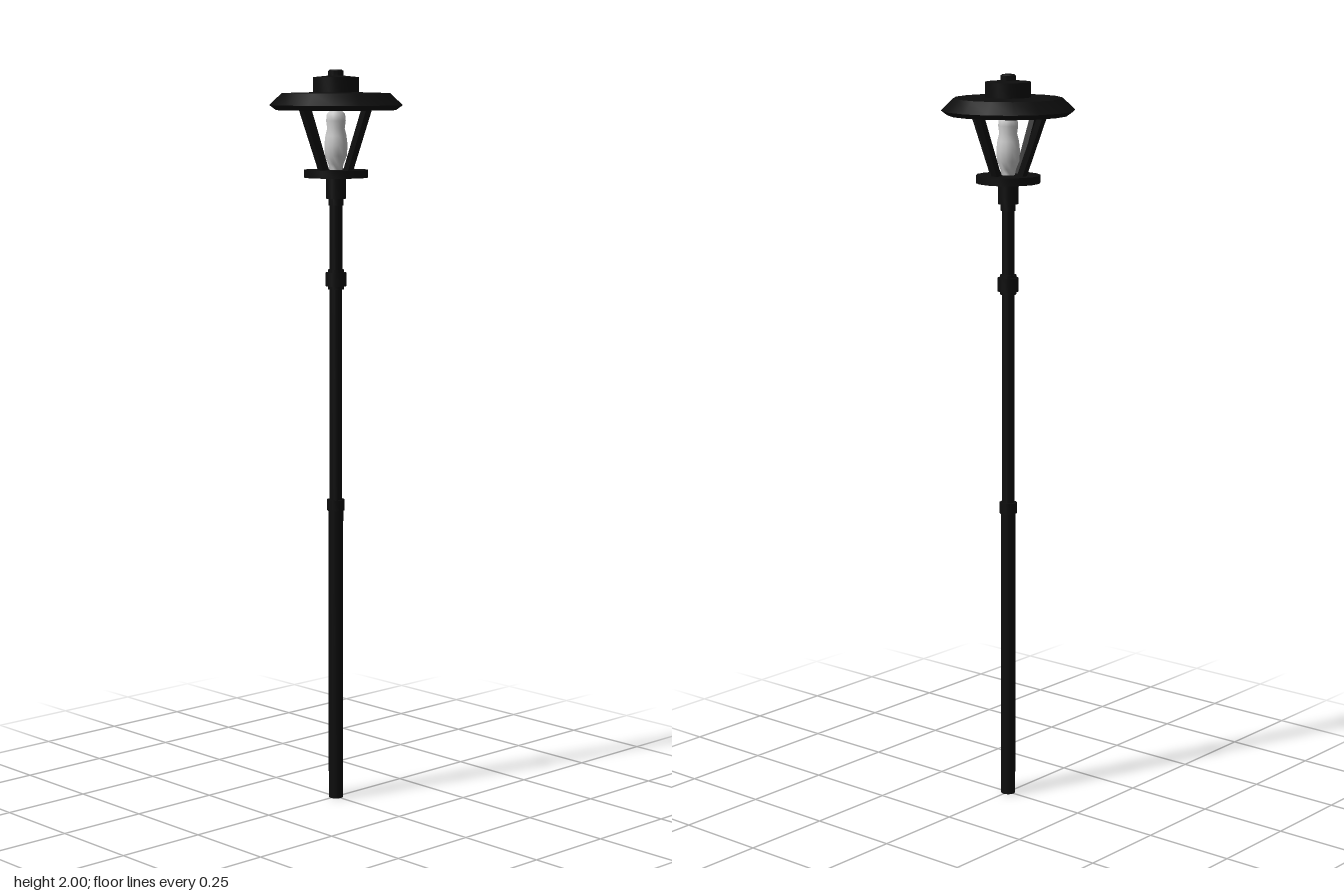
import * as THREE from 'three';
import { toCreasedNormals } from 'three/addons/utils/BufferGeometryUtils.js';

const black = new THREE.MeshStandardMaterial({ color: 0x0d0d0d });
const glass = new THREE.MeshStandardMaterial({ color: 0xcccccc });

export function createModel() {
  const model = new THREE.Group();

  // Turned part from [radius, height] pairs, bottom to top
  const turned = (name, profile, sides, material = black, crease = 0.6) => {
    const points = profile.map(([r, y]) => new THREE.Vector2(r, y));
    const geometry = toCreasedNormals(new THREE.LatheGeometry(points, sides), crease);
    const mesh = new THREE.Mesh(geometry, material);
    mesh.name = name;
    model.add(mesh);
    return mesh;
  };

  // Post
  turned('lowerPost', [[0, 0], [0.02, 0], [0.02, 0.82], [0, 0.82]], 16);
  turned('lowerCollar', [[0.017, 0.81], [0.024, 0.81], [0.024, 0.84], [0.016, 0.84]], 16);
  turned('upperPost', [[0.017, 0.82], [0.017, 1.67]], 16);
  turned('upperCollar', [
    [0.016, 1.415], [0.022, 1.415], [0.022, 1.423], [0.028, 1.423],
    [0.028, 1.46], [0.022, 1.46], [0.022, 1.468], [0.016, 1.468],
  ], 16);

  // Lantern base
  turned('lanternSocket', [
    [0.016, 1.64], [0.02, 1.64], [0.02, 1.658], [0.027, 1.658], [0.027, 1.715],
  ], 16);
  turned('lanternPlate', [[0, 1.714], [0.086, 1.714], [0.086, 1.735], [0, 1.735]], 16);

  // Wavy glass bulb
  turned('bulb', [
    [0.018, 1.735], [0.021, 1.75], [0.03, 1.772], [0.032, 1.8], [0.029, 1.825],
    [0.024, 1.845], [0.027, 1.865], [0.025, 1.883], [0.015, 1.893], [0, 1.896],
  ], 12, glass, 1.2);

  // Four sloping struts from plate to shade
  const bottom = new THREE.Vector3(0.043, 1.725, 0);
  const top = new THREE.Vector3(0.118, 1.9, 0);
  const direction = top.clone().sub(bottom);
  for (let i = 0; i < 4; i++) {
    const strut = new THREE.Mesh(new THREE.BoxGeometry(0.018, direction.length(), 0.018), black);
    strut.position.copy(bottom).add(top).multiplyScalar(0.5);
    strut.rotation.z = -Math.atan2(direction.x, direction.y);
    const arm = new THREE.Group();
    arm.name = 'strut';
    arm.rotation.y = i * Math.PI / 2;
    arm.add(strut);
    model.add(arm);
  }

  // Shade, cap and finial
  turned('shade', [
    [0, 1.893], [0.16, 1.893], [0.178, 1.906], [0.145, 1.938], [0, 1.942],
  ], 16);
  turned('cap', [[0.061, 1.935], [0.061, 1.98], [0.02, 1.984], [0, 1.984]], 24);
  turned('finial', [[0.021, 1.978], [0.021, 1.996], [0.016, 2], [0, 2]], 12);

  return model;
}
